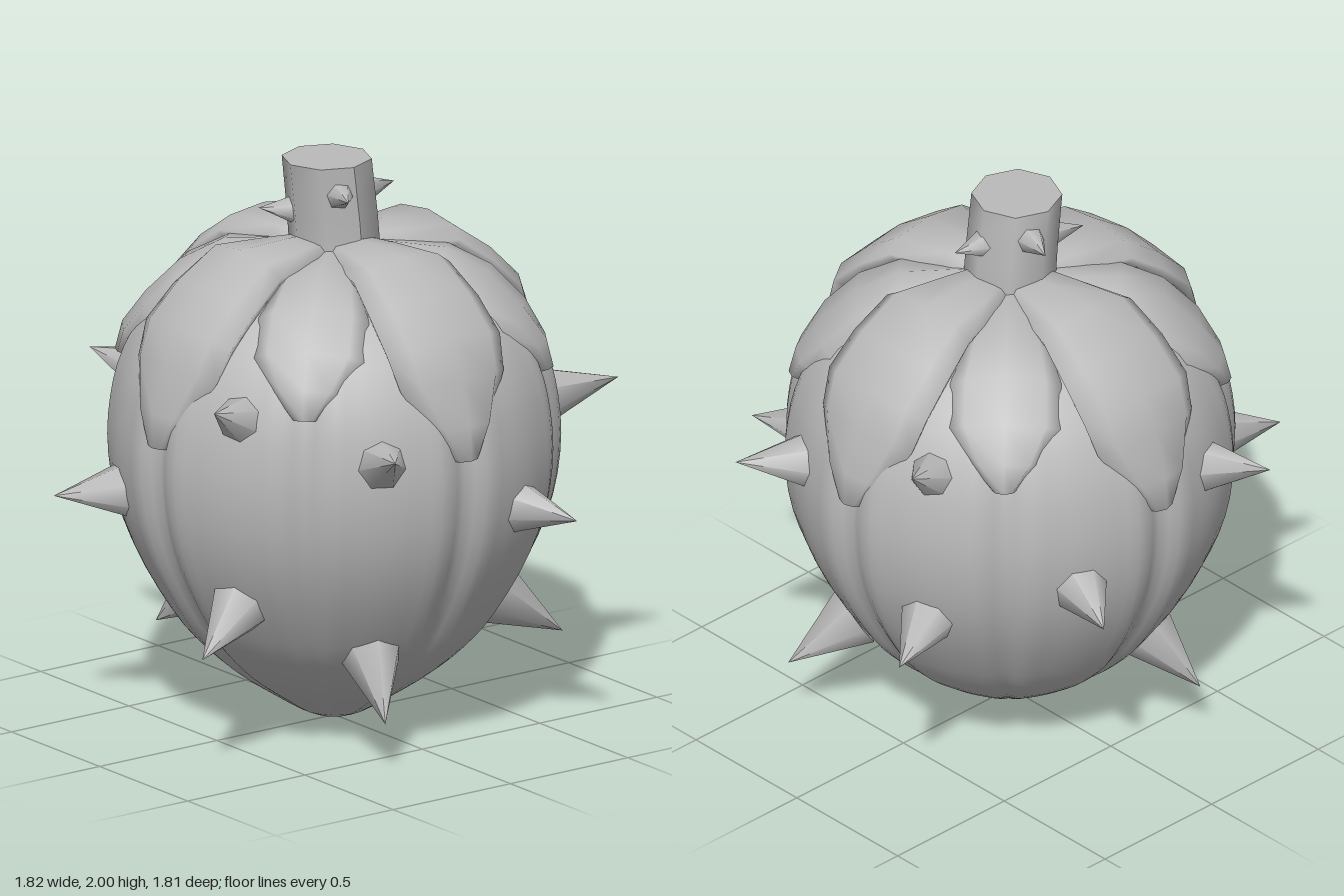
import * as THREE from 'three';
import { mergeVertices } from 'three/addons/utils/BufferGeometryUtils.js';

const grey = new THREE.MeshStandardMaterial({ color: 0xbababa });
grey.name = 'plain grey';

function part(name, geometry, parent) {
  const mesh = new THREE.Mesh(geometry, grey);
  mesh.name = name;
  parent.add(mesh);
  return mesh;
}

// Egg-shaped husk with eight soft grooves running from pole to pole
function bodyGeometry() {
  const profile = [[0, 0.005], [0.1, 0.03], [0.23, 0.11], [0.36, 0.2], [0.47, 0.3], [0.56, 0.41], [0.67, 0.6],
    [0.74, 0.79], [0.767, 0.98], [0.757, 1.15], [0.72, 1.3], [0.64, 1.45], [0.5, 1.58], [0.25, 1.67], [0, 1.69]];
  const curve = new THREE.SplineCurve(profile.map(([r, y]) => new THREE.Vector2(r, y)));
  const points = curve.getPoints(36).map((p) => new THREE.Vector2(Math.max(0, p.x), p.y));
  let geometry = new THREE.LatheGeometry(points, 128);
  const pos = geometry.attributes.position;
  const step = Math.PI / 4;
  for (let i = 0; i < pos.count; i++) {
    const x = pos.getX(i), z = pos.getZ(i);
    const angle = Math.atan2(x, z);
    const d = angle - Math.round(angle / step) * step;
    const k = 1 - 0.04 * Math.exp(-((d / 0.06) ** 2)) + 0.008 * Math.exp(-(((Math.abs(d) - 0.14) / 0.05) ** 2));
    pos.setX(i, x * k);
    pos.setZ(i, z * k);
  }
  geometry.deleteAttribute('uv');
  geometry.deleteAttribute('normal');
  geometry = mergeVertices(geometry, 1e-5);
  geometry.computeVertexNormals();
  return geometry;
}

// Thick drooping leaf along +z: stations are [reach, height, half width]
function leafGeometry(stations) {
  const section = [[-0.88, -0.1], [0, -0.09], [0.88, -0.1], [1, -0.06], [0.72, -0.018], [0, 0],
    [-0.72, -0.018], [-1, -0.06]];
  const n = section.length, last = stations.length - 1;
  const verts = [], index = [];
  stations.forEach(([r, y, w], j) => {
    const a = stations[Math.max(0, j - 1)], b = stations[Math.min(last, j + 1)];
    const len = Math.hypot(b[0] - a[0], b[1] - a[1]);
    const nr = -(b[1] - a[1]) / len, ny = (b[0] - a[0]) / len;
    const thick = j === last ? 0.7 : 1;
    for (const [u, v] of section) verts.push(u * w, y + ny * v * thick, r + nr * v * thick);
  });
  for (let j = 0; j < last; j++) {
    for (let i = 0; i < n; i++) {
      const a = j * n + i, b = j * n + (i + 1) % n;
      index.push(a, b, a + n, b, b + n, a + n);
    }
  }
  // End caps
  for (let i = 1; i < n - 1; i++) {
    index.push(0, i + 1, i, last * n, last * n + i, last * n + i + 1);
  }
  const geometry = new THREE.BufferGeometry();
  geometry.setAttribute('position', new THREE.Float32BufferAttribute(verts, 3));
  geometry.setIndex(index);
  geometry.computeVertexNormals();
  return geometry;
}

// Cone reaching from a base point to a tip
function thorn(name, base, tip, radius, sides, parent) {
  const dir = tip.clone().sub(base);
  const mesh = part(name, new THREE.ConeGeometry(radius, dir.length(), sides, 1), parent);
  mesh.position.copy(base).addScaledVector(dir, 0.5);
  mesh.quaternion.setFromUnitVectors(new THREE.Vector3(0, 1, 0), dir.normalize());
}

export function createModel() {
  const model = new THREE.Group();
  model.name = 'thornyFruit';
  part('body', bodyGeometry(), model);

  // Four broad leaves with four shorter ones between them
  const leaves = new THREE.Group();
  leaves.name = 'leafCrown';
  model.add(leaves);
  const broad = leafGeometry([[0.02, 1.735, 0.09], [0.2, 1.74, 0.14], [0.4, 1.735, 0.205], [0.55, 1.63, 0.23],
    [0.67, 1.51, 0.24], [0.725, 1.38, 0.22], [0.775, 1.22, 0.13], [0.78, 1.1, 0.05]]);
  const short = leafGeometry([[0.08, 1.71, 0.06], [0.38, 1.69, 0.15], [0.53, 1.61, 0.19], [0.65, 1.49, 0.195],
    [0.73, 1.38, 0.12], [0.755, 1.28, 0.04]]);
  for (let i = 0; i < 4; i++) {
    part('broadLeaf', broad, leaves).rotation.y = i * Math.PI / 2;
    part('shortLeaf', short, leaves).rotation.y = (i + 0.5) * Math.PI / 2;
  }

  // Stem leaning slightly toward -x
  const stemGeometry = new THREE.CylinderGeometry(0.155, 0.158, 0.4, 8, 4);
  const pos = stemGeometry.attributes.position;
  for (let i = 0; i < pos.count; i++) {
    const t = Math.max(0, (pos.getY(i) + 0.07) / 0.27);
    pos.setX(i, pos.getX(i) - 0.032 * t);
  }
  stemGeometry.computeVertexNormals();
  part('stem', stemGeometry, model).position.y = 1.8;

  // Body thorns: tip x, y, z and base height
  const thorns = new THREE.Group();
  thorns.name = 'thorns';
  model.add(thorns);
  const tips = [
    [-0.4, 1.19, 0.88, 1.1], [0.36, 0.85, 0.9, 0.87], [0.91, 1.14, 0.4, 1.09], [0.81, 1.39, -0.37, 1.26],
    [0.87, 0.65, -0.37, 0.72], [0.71, 0.26, 0.35, 0.41], [-0.27, 0.18, 0.65, 0.38], [-0.82, 1.33, 0.41, 1.23],
    [-0.91, 0.86, -0.38, 0.87], [-0.81, 0.43, 0.33, 0.57], [0.41, 0.85, -0.9, 0.87], [-0.36, 1.16, -0.91, 1.1],
    [-0.25, 0.22, -0.68, 0.4],
  ];
  for (const [x, y, z, by] of tips) {
    thorn('bodyThorn', new THREE.Vector3(x * 0.7, by, z * 0.7), new THREE.Vector3(x, y, z), 0.115, 7, thorns);
  }

  // Small stem thorns
  for (const [x, y, z] of [[0.24, 1.87, 0.02], [-0.12, 1.91, 0.24], [-0.24, 1.83, -0.11], [0.07, 1.91, -0.25]]) {
    thorn('stemThorn', new THREE.Vector3(x * 0.5 - 0.01, y - 0.01, z * 0.5), new THREE.Vector3(x, y, z), 0.052, 6, thorns);
  }
  return model;
}
